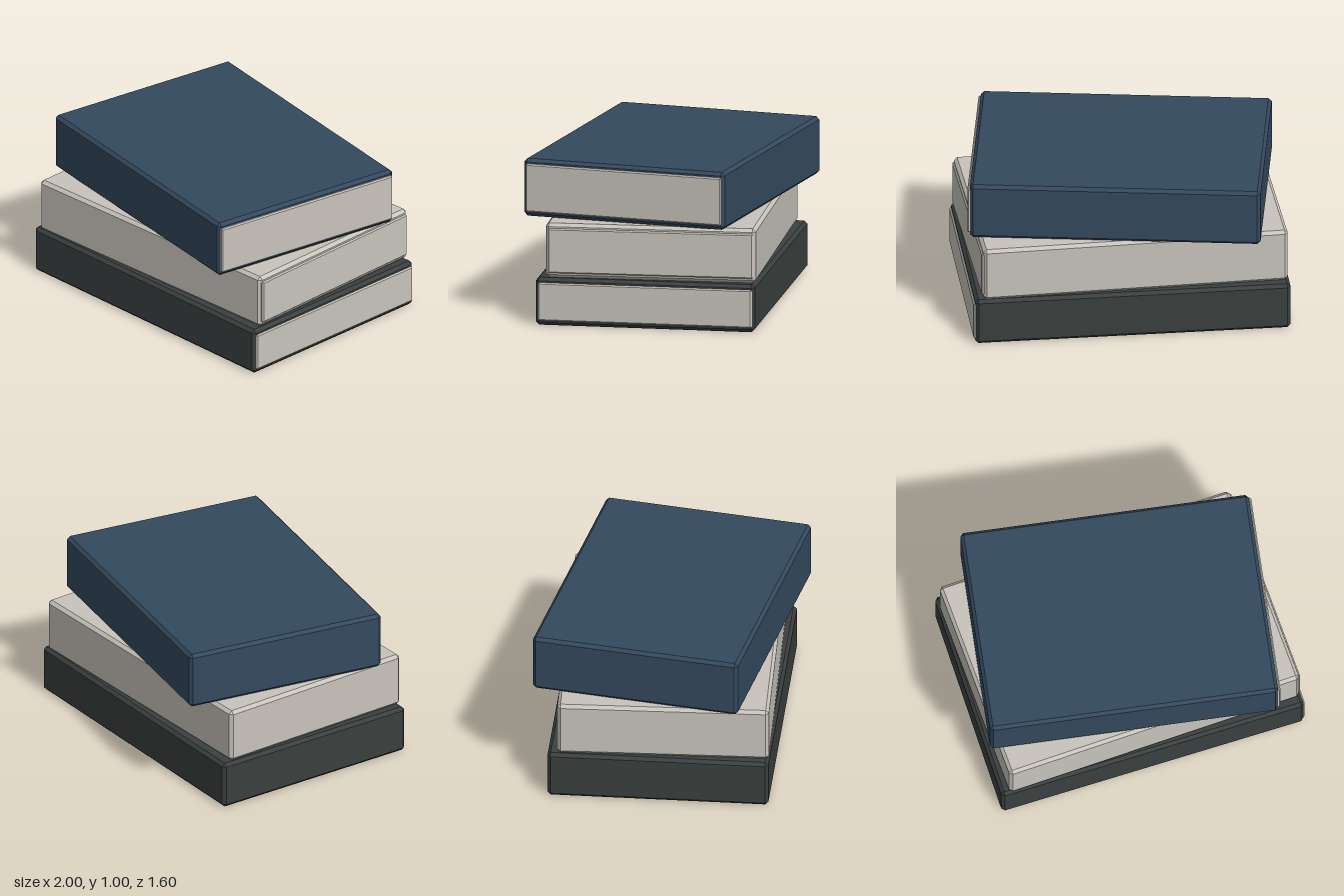
import * as THREE from 'three';
import { ConvexGeometry } from 'three/addons/geometries/ConvexGeometry.js';

// Box between x0 and x1 with chamfered edges, centred on y and z
function chamferBox(x0, x1, height, depth, c) {
  const w = (x1 - x0) / 2, h = height / 2, d = depth / 2;
  const points = [];
  for (const sx of [-1, 1]) for (const sy of [-1, 1]) for (const sz of [-1, 1]) {
    points.push(
      new THREE.Vector3(sx * w, sy * (h - c), sz * (d - c)),
      new THREE.Vector3(sx * (w - c), sy * h, sz * (d - c)),
      new THREE.Vector3(sx * (w - c), sy * (h - c), sz * d));
  }
  return new ConvexGeometry(points).translate((x0 + x1) / 2, 0, 0);
}

function material(name, color) {
  const m = new THREE.MeshStandardMaterial({ color });
  m.name = name;
  return m;
}

export function createModel() {
  const charcoal = material('charcoal', 0x3a403f);
  const ivory = material('ivory', 0xc8c4bc);
  const navy = material('navy', 0x34495e);

  const books = [
    { name: 'bottomBook', cover: charcoal, y0: 0, y1: 0.298, left: -0.98, right: 0.965, page: 0.975, depth: 1.36, turn: -0.9 },
    { name: 'middleBook', cover: ivory, y0: 0.298, y1: 0.638, left: -0.95, right: 0.935, page: 0.945, depth: 1.3, turn: 0.9 },
    { name: 'topBook', cover: navy, y0: 0.638, y1: 0.998, left: -0.9, right: 0.885, page: 0.9, depth: 1.3, turn: -10.5 },
  ];

  const stack = new THREE.Group();
  stack.name = 'bookStack';
  for (const b of books) {
    const book = new THREE.Group();
    book.name = b.name;
    const height = b.y1 - b.y0;

    // Solid cover
    const cover = new THREE.Mesh(chamferBox(b.left, b.right, height, b.depth, 0.02), b.cover);
    cover.name = 'cover';

    // Page block, standing slightly proud of the open end
    const pages = new THREE.Mesh(
      chamferBox(b.right - 0.1, b.page, height - 0.06, b.depth - 0.03, 0.008), ivory);
    pages.name = 'pages';

    book.add(cover, pages);
    book.position.y = (b.y0 + b.y1) / 2;
    book.rotation.y = THREE.MathUtils.degToRad(b.turn);
    stack.add(book);
  }
  return stack;
}
